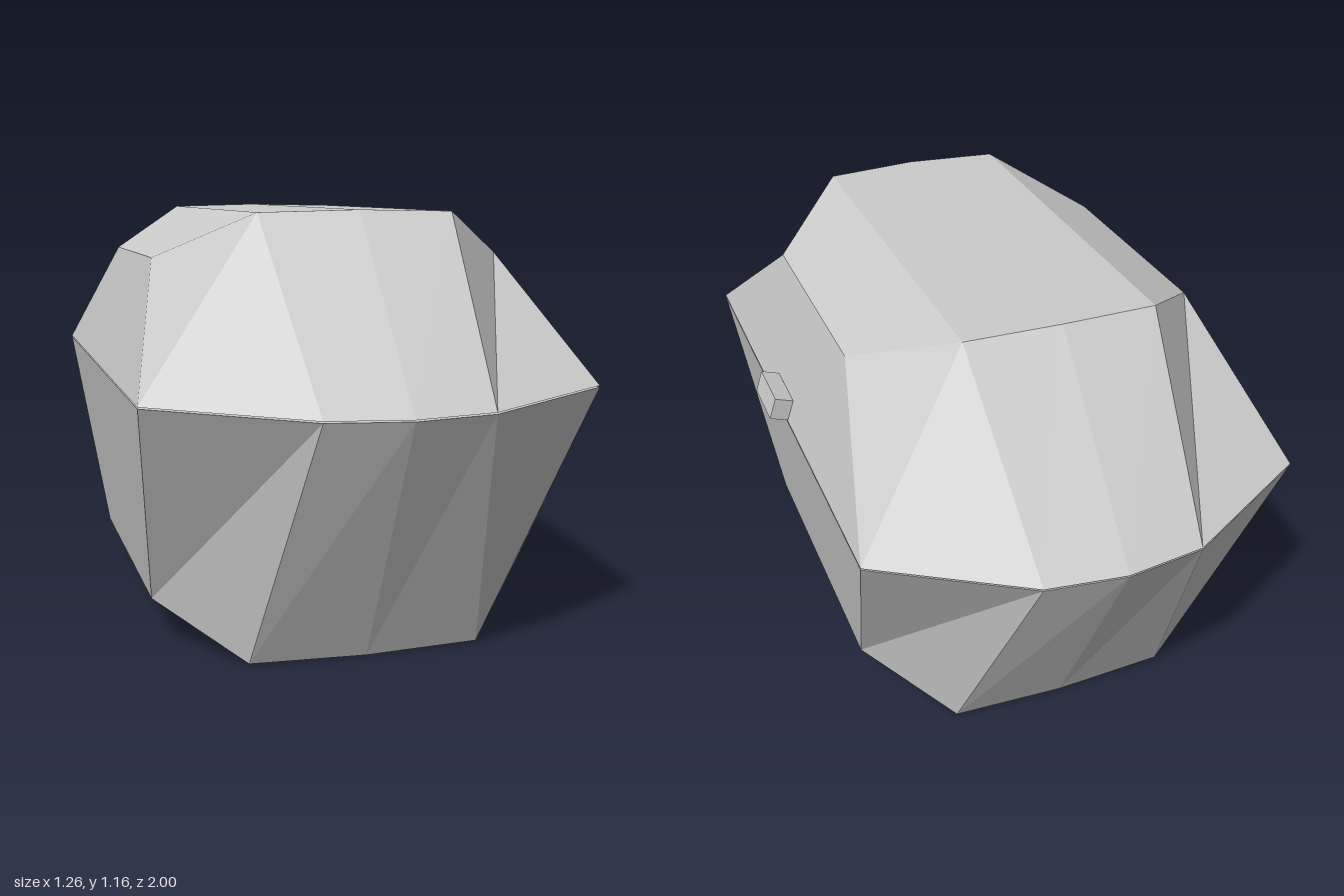
import * as THREE from 'three';

const material = new THREE.MeshStandardMaterial({ color: 0xcccccc, flatShading: true });

// Lofts four-cornered sections along x; each is [x, lowY, lowZ, highY, highZ].
function loftShell(name, sections) {
  const rings = sections.map(([x, y0, z0, y1, z1]) => [
    [x, y0, z0], [x, y1, z1], [x, y1, -z1], [x, y0, -z0],
  ]);
  const positions = [];
  const quad = (a, b, c, d) => positions.push(...a, ...b, ...c, ...a, ...c, ...d);
  for (let i = 0; i < rings.length - 1; i++) {
    const p = rings[i], q = rings[i + 1];
    for (let j = 0; j < 4; j++) {
      const k = (j + 1) % 4;
      quad(p[j], q[j], q[k], p[k]);
    }
  }
  // End walls
  const first = rings[0], last = rings[rings.length - 1];
  quad(first[0], first[1], first[2], first[3]);
  quad(last[3], last[2], last[1], last[0]);

  const geometry = new THREE.BufferGeometry();
  geometry.setAttribute('position', new THREE.Float32BufferAttribute(positions, 3));
  geometry.computeVertexNormals();
  const mesh = new THREE.Mesh(geometry, material);
  mesh.name = name;
  return mesh;
}

export function createModel() {
  const group = new THREE.Group();
  group.name = 'facetedCase';

  // Lower half: narrow floor flaring up to the rim. The bottom and rim edges
  // of a section sit at different x, so sections are sheared after lofting.
  const base = loftShell('base', [
    [-0.63, 0.13, 0.43, 0.704, 0.76],
    [-0.24, 0.005, 0.65, 0.688, 0.973],
    [-0.025, 0, 0.66, 0.685, 0.998],
    [0.19, 0.005, 0.65, 0.688, 0.973],
    [0.575, 0.13, 0.43, 0.704, 0.76],
  ]);
  shiftColumns(base, (y) => y < 0.4, { '-0.63': -0.555, '-0.24': -0.34, '0.19': 0.29, '0.575': 0.5 });

  // Upper half: same rim, tapering to an elongated roof
  const lid = loftShell('lid', [
    [-0.63, 0.708, 0.76, 1.032, 0.32],
    [-0.24, 0.692, 0.973, 1.154, 0.56],
    [-0.025, 0.689, 0.998, 1.16, 0.574],
    [0.19, 0.692, 0.973, 1.155, 0.56],
    [0.575, 0.708, 0.76, 1.034, 0.32],
  ]);
  shiftColumns(lid, (y) => y > 0.9, { '-0.63': -0.52, '-0.24': -0.29, '0.19': 0.235, '0.575': 0.465 });

  // Latch lying against the sloped side of the lid
  const latch = new THREE.Mesh(new THREE.BoxGeometry(0.053, 0.063, 0.163), material);
  latch.name = 'latch';
  latch.position.set(0.59, 0.751, 0.013);
  latch.rotation.z = 0.325;

  group.add(base, lid, latch);
  return group;
}

// Moves the far edge of each section to its own x position.
function shiftColumns(mesh, isFarEdge, xMap) {
  const pos = mesh.geometry.attributes.position;
  for (let i = 0; i < pos.count; i++) {
    if (!isFarEdge(pos.getY(i))) continue;
    const key = String(Math.round(pos.getX(i) * 1000) / 1000);
    if (key in xMap) pos.setX(i, xMap[key]);
  }
  mesh.geometry.computeVertexNormals();
}
